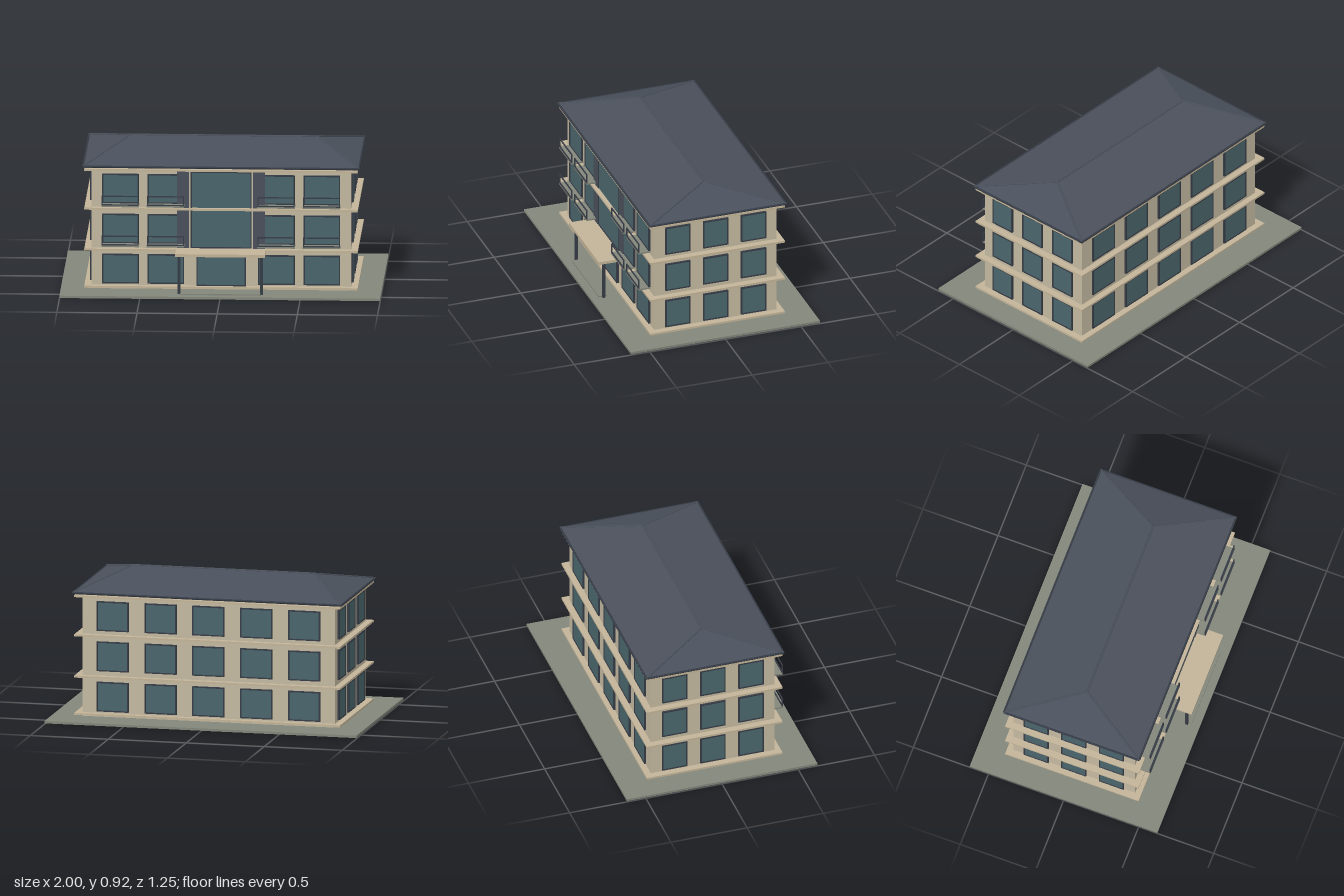
import * as THREE from 'three';

const mat = (name, color) => {
  const m = new THREE.MeshStandardMaterial({ color });
  m.name = name;
  return m;
};

export function createModel() {
  const model = new THREE.Group();
  model.name = 'building';

  const wall = mat('wall beige', 0xc4b9a0);
  const trim = mat('trim sand', 0xc3b498);
  const glass = mat('glass teal', 0x4a666c);
  const frame = mat('frame slate', 0x363c46);
  const panel = mat('panel slate', 0x4a505b);
  const roofing = mat('roof slate', 0x4a505b);
  const paving = mat('paving grey', 0x83867a);

  // Box given by its minimum and maximum corners
  const box = (name, m, x0, x1, y0, y1, z0, z1, parent = model) => {
    const mesh = new THREE.Mesh(new THREE.BoxGeometry(x1 - x0, y1 - y0, z1 - z0), m);
    mesh.position.set((x0 + x1) / 2, (y0 + y1) / 2, (z0 + z1) / 2);
    mesh.name = name;
    parent.add(mesh);
    return mesh;
  };

  // Round bar between two points
  const bar = (name, m, a, b, r) => {
    const dir = b.clone().sub(a);
    const mesh = new THREE.Mesh(new THREE.CylinderGeometry(r, r, dir.length(), 8), m);
    mesh.position.copy(a).add(b).multiplyScalar(0.5);
    mesh.quaternion.setFromUnitVectors(new THREE.Vector3(0, 1, 0), dir.normalize());
    mesh.name = name;
    model.add(mesh);
  };

  // Four bars around a rectangle centred on the origin
  const border = (name, m, w, h, t, d, parent) => {
    for (const s of [-1, 1]) {
      const x = s * (w - t) / 2, y = s * (h - t) / 2;
      box(name + 'Upright', m, x - t / 2, x + t / 2, -h / 2 + t, h / 2 - t, 0, d, parent);
      box(name + 'Crossbar', m, -w / 2, w / 2, y - t / 2, y + t / 2, 0, d, parent);
    }
  };

  // Framed pane standing on a wall, facing +z before it is turned
  const windowUnit = (name, w, h, x, y, z, turn = 0, depth = 0.012) => {
    const g = new THREE.Group();
    g.name = name;
    box('pane', glass, -w / 2 + 0.005, w / 2 - 0.005, -h / 2 + 0.005, h / 2 - 0.005, 0, depth - 0.004, g);
    border('frame', frame, w, h, 0.008, depth, g);
    g.position.set(x, y, z);
    g.rotation.y = turn;
    model.add(g);
  };

  // Site and main block
  const site = new THREE.Shape();
  site.moveTo(-1, -0.625).lineTo(1, -0.625).lineTo(1, 0.625).lineTo(-1, 0.625).closePath();
  const hole = new THREE.Path();
  hole.moveTo(-0.81, -0.405).lineTo(-0.81, 0.405).lineTo(0.81, 0.405).lineTo(0.81, -0.405).closePath();
  site.holes.push(hole);
  const ground = new THREE.Mesh(new THREE.ExtrudeGeometry(site, { depth: 0.015, bevelEnabled: false }), paving);
  ground.rotation.x = -Math.PI / 2;
  ground.position.y = 0.005;
  ground.name = 'groundSlab';
  model.add(ground);
  box('mainBlock', wall, -0.81, 0.81, 0, 0.8, -0.405, 0.405);

  // Projecting bands at every floor
  for (const y of [0.031, 0.268, 0.53, 0.779]) {
    box('floorBand', trim, -0.853, 0.853, y, y + 0.013, -0.445, 0.445);
  }

  // Windows on all four sides
  for (const y of [0.148, 0.404, 0.66]) {
    for (const s of [-1, 1]) {
      for (const x of [0.345, 0.628]) windowUnit('frontWindow', 0.228, 0.188, s * x, y, 0.405);
      for (const z of [-0.25, 0, 0.25]) {
        windowUnit('sideWindow', 0.165, 0.188, s * 0.81, y, z, s * Math.PI / 2);
      }
    }
    for (let i = -2; i <= 2; i++) windowUnit('backWindow', 0.205, 0.188, i * 0.307, y, -0.405, Math.PI);
  }

  // Tall central glazing, entrance and dark pilasters
  windowUnit('centralGlazing', 0.38, 0.49, 0, 0.53, 0.405, 0, 0.016);
  windowUnit('entranceDoor', 0.31, 0.212, 0, 0.149, 0.405, 0, 0.016);
  for (const s of [-1, 1]) {
    const x = s * 0.237;
    box('pilaster', panel, x - 0.037, x + 0.037, 0.285, 0.778, 0.4, 0.423);
  }

  // Entrance canopy with columns and step
  box('canopy', trim, -0.28, 0.28, 0.265, 0.283, 0.4, 0.582);
  box('entranceStep', paving, -0.25, 0.25, 0.01, 0.028, 0.517, 0.573);
  for (const s of [-1, 1]) {
    const x = s * 0.258;
    box('canopyColumn', frame, x - 0.009, x + 0.009, 0.02, 0.265, 0.533, 0.551);
  }

  // Balconies on the two upper floors
  for (const y of [0.302, 0.557]) {
    for (const x of [-0.628, -0.345, 0.345, 0.628]) {
      box('balconySlab', paving, x - 0.117, x + 0.117, y, y + 0.01, 0.4, 0.484);
      const rail = new THREE.Group();
      rail.name = 'balconyRail';
      border('rail', frame, 0.232, 0.062, 0.007, 0.007, rail);
      rail.position.set(x, y + 0.041, 0.477);
      model.add(rail);
    }
  }

  // Hipped roof
  const X = 0.86, Z = 0.45, E = 0.809, R = 0.585, T = 0.91;
  const a = [-X, E, Z], b = [X, E, Z], c = [X, E, -Z], d = [-X, E, -Z], l = [-R, T, 0], r = [R, T, 0];
  const faces = [a, b, r, a, r, l, c, d, l, c, l, r, b, c, r, d, a, l];
  const geo = new THREE.BufferGeometry();
  geo.setAttribute('position', new THREE.Float32BufferAttribute(faces.flat(), 3));
  geo.computeVertexNormals();
  const roof = new THREE.Mesh(geo, roofing);
  roof.name = 'hippedRoof';
  model.add(roof);
  box('eavesSlab', roofing, -X, X, 0.799, E, -Z, Z);

  // Gutters, hip caps and ridge cap
  const v = p => new THREE.Vector3(...p);
  for (const [p, q] of [[a, b], [b, c], [c, d], [d, a]]) bar('gutter', frame, v(p).setY(0.807), v(q).setY(0.807), 0.007);
  for (const [p, q] of [[a, l], [d, l], [b, r], [c, r]]) bar('hipCap', roofing, v(p), v(q), 0.006);
  bar('ridgeCap', roofing, v(l), v(r), 0.007);

  return model;
}
